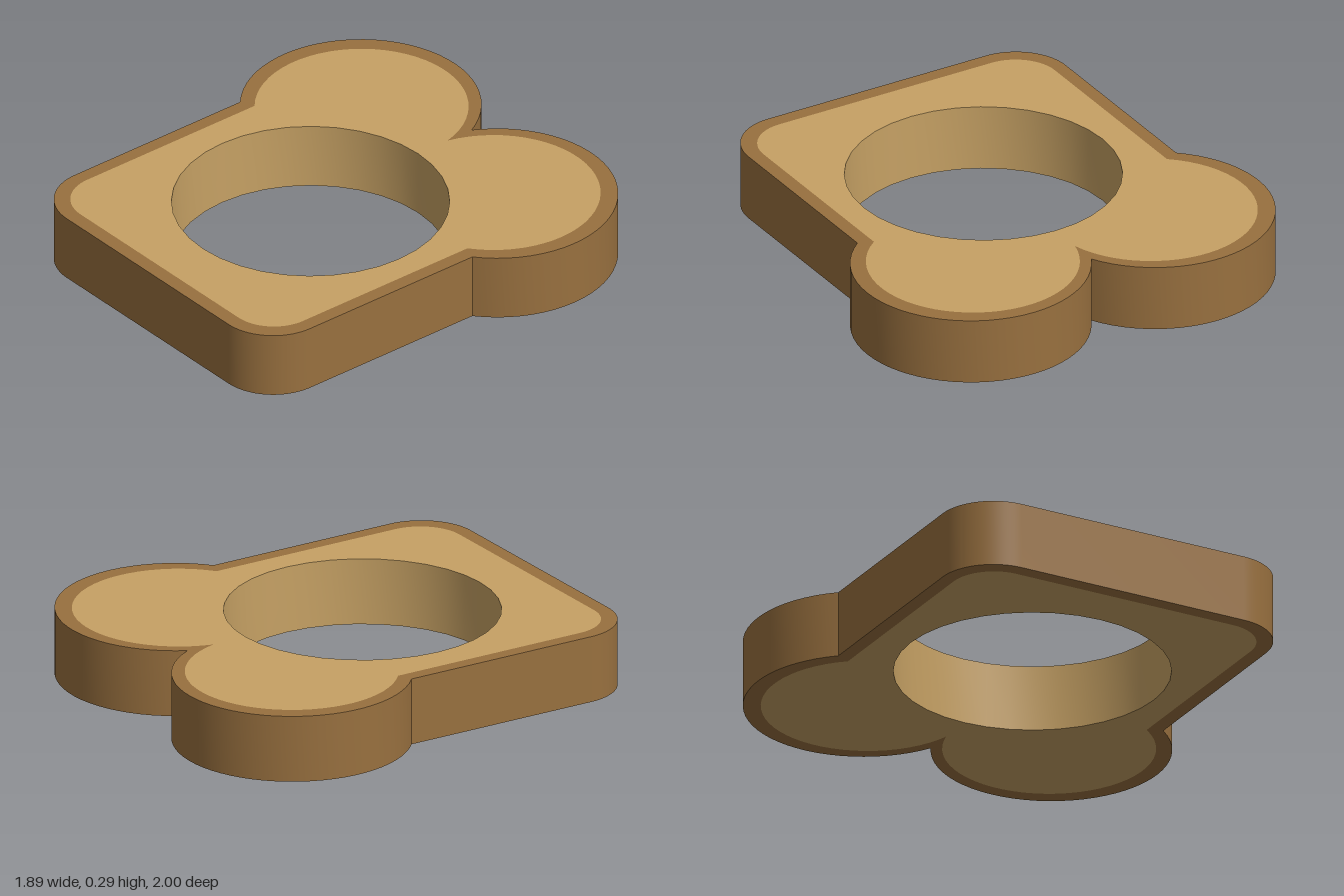
import * as THREE from 'three';
import { toCreasedNormals } from 'three/addons/utils/BufferGeometryUtils.js';

const HEIGHT = 0.29;

// Slice outline drawn with the round top lobes towards +y (laid down to -z later)
function traceSlice(path, { lobeX, lobeY, lobeR, left, right, bottom, corner }) {
  const drop = (dx) => Math.sqrt(lobeR * lobeR - dx * dx);
  const notch = drop(lobeX);
  const rightDx = right - lobeX;
  const leftDx = left + lobeX;
  // Right lobe, then left lobe, meeting in the notch
  path.absarc(lobeX, lobeY, lobeR, Math.atan2(-drop(rightDx), rightDx), Math.atan2(notch, -lobeX), false);
  path.absarc(-lobeX, lobeY, lobeR, Math.atan2(notch, lobeX),
    Math.atan2(-drop(leftDx), leftDx) + Math.PI * 2, false);
  // Rounded lower corners
  path.absarc(left + corner, bottom + corner, corner, Math.PI, Math.PI * 1.5, false);
  path.absarc(right - corner, bottom + corner, corner, Math.PI * 1.5, Math.PI * 2, false);
  path.closePath();
  return path;
}

const OUTER = { lobeX: 0.445, lobeY: 0.5, lobeR: 0.5, left: -0.775, right: 0.757, bottom: -1, corner: 0.24 };
const INNER = { lobeX: 0.43, lobeY: 0.492, lobeR: 0.443, left: -0.714, right: 0.693, bottom: -0.935, corner: 0.19 };

function slab(name, shape, material) {
  const extruded = new THREE.ExtrudeGeometry(shape, { depth: HEIGHT, bevelEnabled: false, curveSegments: 18 });
  extruded.rotateX(-Math.PI / 2);
  const mesh = new THREE.Mesh(toCreasedNormals(extruded, Math.PI / 6), material);
  mesh.name = name;
  return mesh;
}

export function createModel() {
  const crustBrown = new THREE.MeshStandardMaterial({ color: 0x98703f });
  crustBrown.name = 'crust brown';
  const breadTan = new THREE.MeshStandardMaterial({ color: 0xc6a164 });
  breadTan.name = 'bread tan';

  // Crust: border band around the slice
  const crustShape = traceSlice(new THREE.Shape(), OUTER);
  crustShape.holes.push(traceSlice(new THREE.Path(), INNER));

  // Crumb: inner slice with a round hole through it
  const crumbShape = traceSlice(new THREE.Shape(), INNER);
  const hole = new THREE.Path();
  hole.absarc(0, -0.135, 0.576, 0, Math.PI * 2, true);
  crumbShape.holes.push(hole);

  const group = new THREE.Group();
  group.name = 'breadSliceRing';
  group.add(slab('crust', crustShape, crustBrown), slab('crumb', crumbShape, breadTan));
  return group;
}
